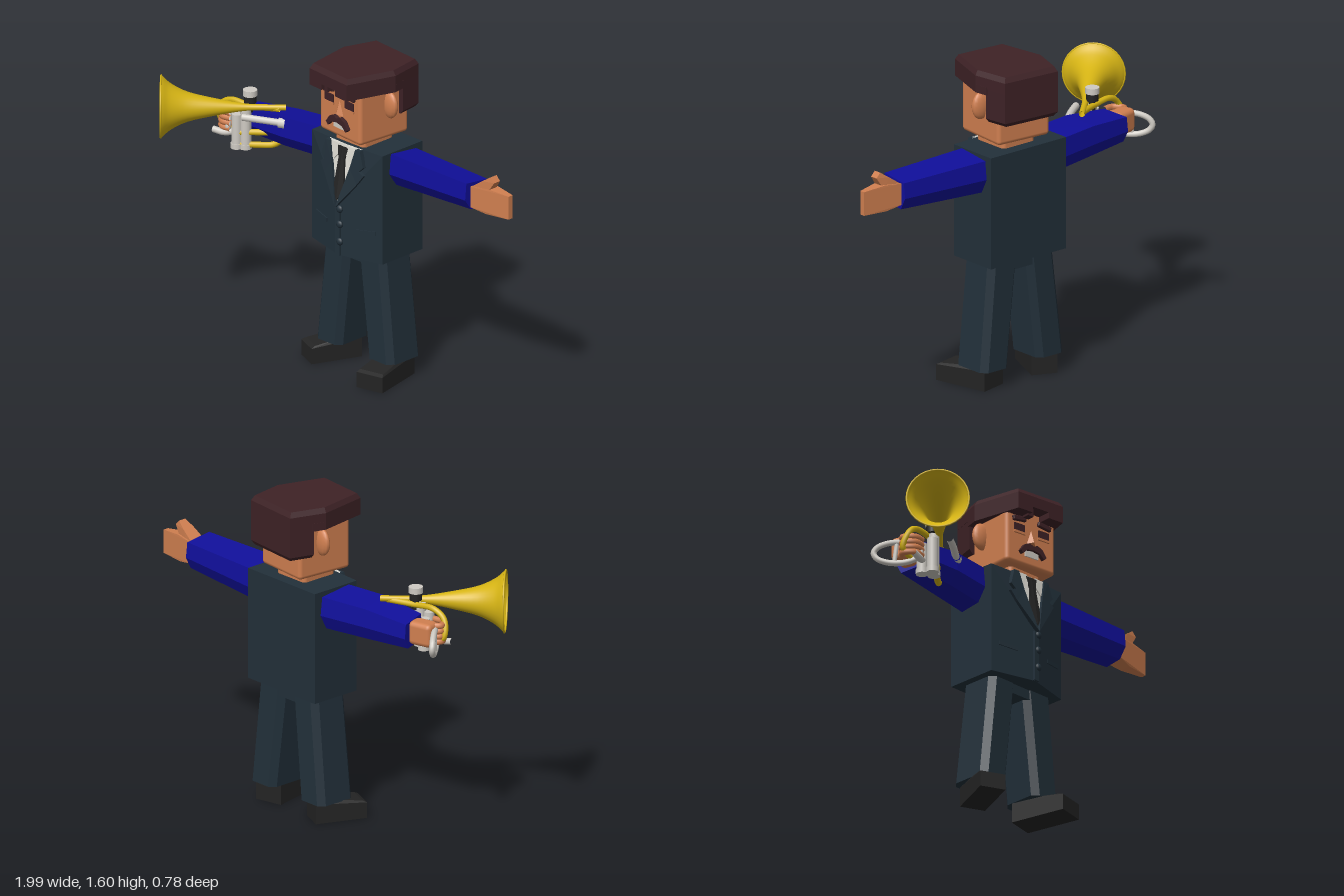
import * as THREE from 'three';
import { ConvexGeometry } from 'three/addons/geometries/ConvexGeometry.js';
import { RoundedBoxGeometry } from 'three/addons/geometries/RoundedBoxGeometry.js';

const material = (name, color, side = THREE.FrontSide) => {
  const m = new THREE.MeshStandardMaterial({ color, side });
  m.name = name;
  return m;
};

export function createModel() {
  const suit = material('suit', 0x22303a), sleeve = material('sleeve', 0x100f9a);
  const skin = material('skin', 0xd07f50), hair = material('hair', 0x3e2226);
  const black = material('black', 0x242424), shirt = material('shirt', 0xdcdad2);
  const silver = material('silver', 0xcfcbc4), gold = material('gold', 0xd6b414, THREE.DoubleSide);
  const model = new THREE.Group();

  const add = (name, geometry, mat, parent = model) => {
    const mesh = new THREE.Mesh(geometry, mat);
    mesh.name = name;
    parent.add(mesh);
    return mesh;
  };
  const V = (p) => new THREE.Vector3(...p);
  const hull = (name, points, mat, parent) => add(name, new ConvexGeometry(points.map(V)), mat, parent);
  const box = (name, size, pos, mat, parent, r = 0) => {
    const g = r ? new RoundedBoxGeometry(...size, 2, r) : new THREE.BoxGeometry(...size);
    const mesh = add(name, g, mat, parent);
    mesh.position.set(...pos);
    return mesh;
  };
  const tube = (name, points, r, mat, closed = false, parent = model) =>
    add(name, new THREE.TubeGeometry(new THREE.CatmullRomCurve3(points.map(V), closed), 40, r, 8, closed), mat, parent);
  const rod = (name, r, h, pos, mat) => {
    const mesh = add(name, new THREE.CylinderGeometry(r, r, h, 14), mat);
    mesh.position.set(...pos);
    return mesh;
  };
  const shapeOf = (pts) => new THREE.Shape(pts.map((p) => new THREE.Vector2(...p)));

  // Jacket body with a slightly peaked front
  const cx = 0.05;
  const ridge = (y) => (y < 0.91 ? 0.012 : 0.012 - (y - 0.91) * 0.17);
  const frontZ = (x, y) => -0.05 + (ridge(y) + 0.05) * (1 - Math.abs(x - cx) / 0.237);
  const ring = (y) => [[-0.19, y, -0.322], [0.285, y, -0.322], [0.285, y, -0.05], [cx, y, ridge(y)], [-0.19, y, -0.05]];
  hull('jacket', [0.635, 0.91, 1.2].flatMap(ring), suit);

  // Flat clothing pieces that follow the jacket front
  const cloth = (name, pts, mat, lift, depth = 0.008) => {
    const g = new THREE.ExtrudeGeometry(shapeOf(pts), { depth, bevelEnabled: false });
    const p = g.attributes.position;
    for (let i = 0; i < p.count; i++) p.setZ(i, p.getZ(i) + lift + frontZ(p.getX(i), p.getY(i)));
    g.computeVertexNormals();
    add(name, g, mat);
  };
  for (const s of [-1, 1]) {
    const side = (pts) => pts.map(([x, y]) => [cx + s * x, y]);
    cloth('shirtHalf', side([[0, 0.91], [0.11, 1.2], [0, 1.2]]), shirt, 0);
    cloth('lapel', side([[0, 0.89], [0.11, 1.03], [0.145, 1.08], [0.115, 1.095], [0.14, 1.12], [0.115, 1.2],
      [0.085, 1.2], [0.06, 1.1]]), suit, 0.004, 0.022);
    cloth('collar', side([[0.012, 1.165], [0.06, 1.11], [0.1, 1.2], [0.03, 1.2]]), shirt, 0.009);
    cloth('tie', side([[0, 0.925], [0.035, 0.975], [0.02, 1.13], [0.034, 1.19], [0, 1.19]]), black, 0.012);
    cloth('pocketFlap', side([[0.1, 0.77], [0.2, 0.78], [0.2, 0.8], [0.1, 0.79]]), suit, 0.001, 0.005);
  }
  box('jacketOverlap', [0.03, 0.26, 0.014], [cx, 0.766, 0.013], suit, model);
  for (const y of [0.88, 0.8, 0.71]) {
    const b = add('button', new THREE.SphereGeometry(0.02, 10, 8), suit);
    b.position.set(cx + 0.012, y, 0.016);
    b.scale.z = 0.7;
  }

  // Trousers
  const legRing = (y, x0, x1, z0, z1, c = 0.03) => [
    [x0 + c, y, z0], [x1 - c, y, z0], [x1, y, z0 + c], [x1, y, z1 - c],
    [x1 - c, y, z1], [x0 + c, y, z1], [x0, y, z1 - c], [x0, y, z0 + c]];
  hull('rightLeg', [...legRing(0.1, -0.21, -0.04, -0.298, -0.08), ...legRing(0.645, -0.15, 0.02, -0.29, -0.08)], suit);
  hull('leftLeg', [...legRing(0.1, 0.14, 0.31, -0.298, -0.08), ...legRing(0.645, 0.075, 0.255, -0.29, -0.08)], suit);
  box('trouserSeat', [0.24, 0.06, 0.2], [cx, 0.615, -0.185], suit, model);

  // Shoes turned outwards
  const shoe = (name, x, z, turn, w, len) => {
    const h = len / 2, a = w / 2, pts = [];
    for (const s of [-a, a]) pts.push([s, 0, -h], [s, 0, h], [s, 0.08, h], [s * 0.9, 0.09, h - 0.02], [s * 0.85, 0.108, -0.02], [s, 0.1, -h]);
    const mesh = hull(name, pts, black);
    mesh.position.set(x, 0, z);
    mesh.rotation.y = turn;
  };
  shoe('rightShoe', -0.153, -0.145, -0.4, 0.13, 0.26);
  shoe('leftShoe', 0.243, -0.115, 0.22, 0.145, 0.29);

  // Sleeves: a six-sided section swept between joints; sections are (across, up)
  const section = [[0.085, 0.09], [-0.08, 0.07], [-0.09, -0.02], [-0.055, -0.09], [0.05, -0.075], [0.095, -0.01]];
  const armRing = (x, y, z, k, turn = 0) =>
    section.map(([a, b]) => [x + a * k * Math.sin(turn), y + b * k, z + a * k * Math.cos(turn)]);
  hull('leftSleeve', [...armRing(0.25, 1.102, -0.197, 1.05), ...armRing(0.785, 1.112, -0.193, 0.86)], sleeve);
  hull('rightUpperSleeve', [...armRing(-0.15, 1.1, -0.197, 1.05), ...armRing(-0.43, 1.102, -0.15, 1, 0.2)], sleeve);
  hull('rightLowerSleeve', [...armRing(-0.43, 1.102, -0.15, 1, 0.2), ...armRing(-0.675, 1.095, -0.125, 0.8, 0.25)], sleeve);

  // Open left hand
  const slab = (name, pts, z0, z1, t0, t1) => hull(name, pts.flatMap(([x, y, k]) => {
    const z = z0 + (z1 - z0) * k, t = t0 + (t1 - t0) * k;
    return [[x, y, z - t], [x, y, z + t]];
  }), skin);
  slab('leftPalm', [[0.77, 1.06, 0], [0.77, 1.165, 0], [0.88, 1.175, 0.5], [1, 1.165, 1], [1, 1.045, 1], [0.87, 1.042, 0.5]],
    -0.195, -0.205, 0.05, 0.014);
  slab('leftThumb', [[0.785, 1.165, 0], [0.85, 1.21, 0.4], [0.895, 1.24, 1], [0.918, 1.215, 1], [0.875, 1.15, 0.6], [0.8, 1.1, 0]],
    -0.195, -0.195, 0.04, 0.02);

  // Right hand curled round the horn
  const palm = box('rightPalm', [0.13, 0.12, 0.09], [-0.725, 1.1, -0.105], skin, model, 0.025);
  palm.rotation.y = 0.25;
  for (let i = 0; i < 4; i++) {
    const y = 1.14 - i * 0.027;
    tube('rightFinger', [[-0.75, y, -0.09], [-0.79, y, -0.05], [-0.755, y, -0.005], [-0.7, y, -0.01]], 0.016, skin);
  }

  // Neck and head, turned a little to the side
  box('neck', [0.2, 0.1, 0.2], [0.052, 1.22, -0.16], skin, model, 0.02);
  const head = new THREE.Group();
  head.name = 'head';
  head.position.set(0.052, 0, -0.16);
  head.rotation.y = -0.09;
  model.add(head);
  box('face', [0.305, 0.32, 0.305], [0, 1.398, 0], skin, head, 0.02);
  for (const s of [-1, 1]) {
    const ear = add('ear', new THREE.SphereGeometry(1, 14, 10), skin, head);
    ear.scale.set(0.055, 0.07, 0.026);
    ear.position.set(s * 0.162, 1.415, -0.025);
    const brow = box('brow', [0.08, 0.026, 0.02], [s * 0.078, 1.474, 0.156], hair, head, 0.006);
    brow.rotation.z = -s * 0.12;
    box('eye', [0.065, 0.04, 0.009], [s * 0.075, 1.427, 0.154], hair, head);
    box('lowerLid', [0.07, 0.012, 0.014], [s * 0.075, 1.402, 0.154], skin, head);
  }
  hull('nose', [[-0.03, 1.355, 0.15], [0.03, 1.355, 0.15], [0, 1.44, 0.15], [0, 1.365, 0.175]], skin, head);
  const stache = shapeOf([[-0.08, 1.305], [-0.065, 1.29], [-0.04, 1.315], [0, 1.322], [0.04, 1.315], [0.065, 1.29],
    [0.08, 1.305], [0.055, 1.34], [0.025, 1.353], [0, 1.343], [-0.025, 1.353], [-0.055, 1.34]]);
  add('moustache', new THREE.ExtrudeGeometry(stache, { depth: 0.025, bevelEnabled: false }), hair, head).position.z = 0.148;
  box('teeth', [0.08, 0.035, 0.009], [0, 1.305, 0.154], silver, head);

  // Hair: six-sided cap, fringe and back block
  const cap = [[-0.155, -0.212], [0.155, -0.212], [0.2, -0.03], [0.138, 0.225], [-0.138, 0.225], [-0.2, -0.03]];
  const capRing = (y, k) => cap.map(([x, z]) => [x * k, y, z * k]);
  hull('hairCap', [...capRing(1.52, 1), ...capRing(1.575, 1), ...capRing(1.6, 0.93)], hair, head);
  for (const s of [-1, 1]) {
    hull('hairSide', [1.49, 1.53].flatMap((y) => [[s * 0.2, y, -0.03], [s * 0.138, y, 0.225], [s * 0.05, y, 0.225],
      [s * 0.05, y, 0.14], [s * 0.14, y, -0.1], [s * 0.185, y, -0.1]]), hair, head);
  }
  box('forelock', [0.035, 0.05, 0.04], [-0.045, 1.505, 0.185], hair, head);
  hull('hairBack', [...[1.37, 1.53].flatMap((y) => [[-0.155, y, -0.212], [0.155, y, -0.212], [0.182, y, -0.09], [-0.182, y, -0.09]]),
    [-0.14, 1.35, -0.2], [0.14, 1.35, -0.2], [0.165, 1.35, -0.09], [-0.165, 1.35, -0.09]], hair, head);

  // Horn bell and main pipe
  const profile = [[0.015, -0.6], [0.015, -0.46], [0.021, -0.38], [0.042, -0.26], [0.072, -0.13], [0.11, -0.05], [0.142, -0.012], [0.152, 0]];
  const curve = new THREE.SplineCurve(profile.map((p) => new THREE.Vector2(...p)));
  const bell = new THREE.LatheGeometry(curve.getPoints(28), 32);
  bell.rotateX(Math.PI / 2);
  const horn = add('hornBell', bell, gold);
  horn.position.set(-0.885, 1.207, 0.28);
  horn.rotation.y = -0.807;
  const rim = add('bellRim', new THREE.TorusGeometry(0.15, 0.005, 8, 32), gold);
  rim.position.copy(horn.position);
  rim.rotation.y = -0.807;

  // Horn tubing, mouthpiece and finger ring
  tube('mouthpiece', [[-0.57, 1.175, 0.045], [-0.5, 1.17, 0], [-0.42, 1.16, -0.06]], 0.018, silver);
  tube('mouthpieceCup', [[-0.425, 1.16, -0.056], [-0.4, 1.157, -0.075]], 0.026, silver);
  tube('tuningSlide', [[-0.64, 1.065, 0.01], [-0.55, 1.07, -0.06], [-0.49, 1.065, -0.11], [-0.475, 1.035, -0.12],
    [-0.5, 1.01, -0.1], [-0.56, 1.005, -0.05], [-0.64, 1.005, 0.01]], 0.016, gold);
  tube('leadPipe', [[-0.47, 1.2, -0.11], [-0.6, 1.195, -0.05], [-0.72, 1.2, -0.03], [-0.78, 1.16, -0.02], [-0.8, 1.08, -0.04], [-0.74, 1.04, -0.04]], 0.015, gold);
  const ringLoop = [];
  for (let i = 0; i < 12; i++) {
    const a = (i / 12) * Math.PI * 2, c = Math.cos(a);
    ringLoop.push([-0.79 - 0.075 * c, 1.07 + 0.055 * Math.sin(a), -0.09 - 0.085 * c]);
  }
  tube('fingerRing', ringLoop, 0.015, silver, true);
  tube('ringBrace', [[-0.8, 1.015, -0.1], [-0.79, 1.125, -0.09]], 0.011, silver);
  tube('lowerPipe', [[-0.79, 1.04, 0.02], [-0.73, 1.035, 0], [-0.65, 1.06, -0.05]], 0.017, silver);

  // Valves
  rod('valveStem', 0.015, 0.1, [-0.6, 1.22, -0.04], black);
  rod('valveCollar', 0.03, 0.035, [-0.6, 1.235, -0.04], black);
  rod('valveCap', 0.035, 0.03, [-0.6, 1.27, -0.04], silver);
  for (const [x, z, h] of [[-0.61, -0.02, 0.2], [-0.645, 0.005, 0.16], [-0.665, -0.045, 0.14]]) {
    rod('valveCasing', 0.027, h, [x, 1 + h / 2, z], silver);
    rod('valveFoot', 0.031, 0.025, [x, 0.995, z], silver);
  }
  return model;
}
